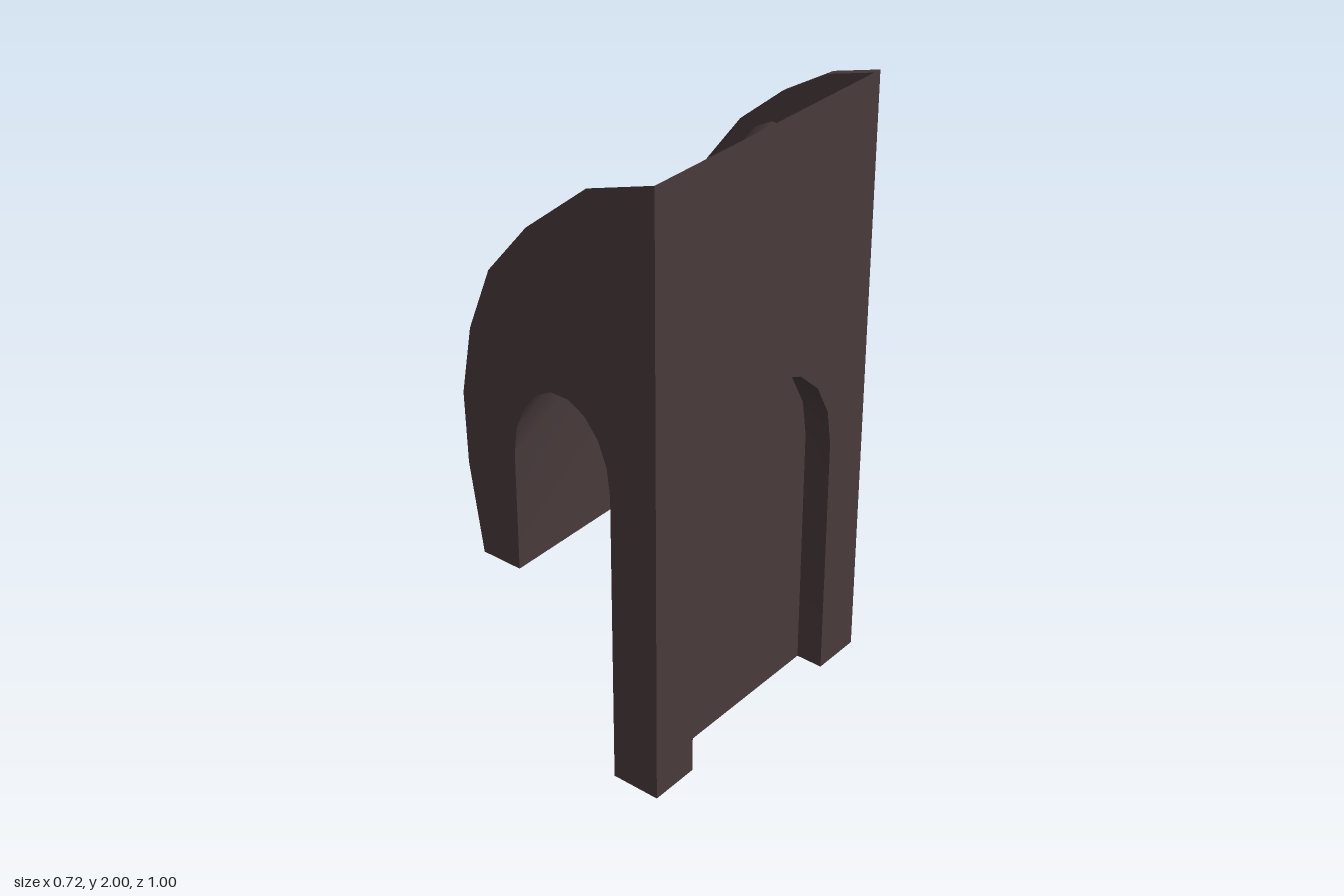
import * as THREE from 'three';
import { toCreasedNormals } from 'three/addons/utils/BufferGeometryUtils.js';

const stone = new THREE.MeshStandardMaterial({ color: 0x483a3b, side: THREE.DoubleSide });
stone.name = 'dark stone';

// Nine-sided round arch, listed from its +u foot to its -u foot
function arch(cu, ru, spring, rise, footA, footB) {
  const points = [[cu + ru, footA]];
  for (let i = 0; i <= 9; i++) {
    const a = (i / 9) * Math.PI;
    points.push([cu + ru * Math.cos(a), spring + rise * Math.sin(a)]);
  }
  points.push([cu - ru, footB]);
  return points;
}

// Flat panel from a list of 2D points, with optional holes
function panel(points) {
  return new THREE.ShapeGeometry(new THREE.Shape(points.map(([u, v]) => new THREE.Vector2(u, v))));
}

// Ribbon joining two rows of 3D points
function ribbon(rowA, rowB, crease) {
  const index = [];
  const n = rowA.length;
  for (let i = 0; i < n - 1; i++) index.push(i, i + 1, n + i, i + 1, n + i + 1, n + i);
  const geometry = new THREE.BufferGeometry();
  geometry.setAttribute('position', new THREE.Float32BufferAttribute([...rowA, ...rowB].flat(), 3));
  geometry.setIndex(index);
  geometry.computeVertexNormals();
  return toCreasedNormals(geometry, crease);
}

export function createModel() {
  const model = new THREE.Group();
  model.name = 'archway';
  const add = (name, geometry) => {
    const mesh = new THREE.Mesh(geometry, stone);
    mesh.name = name;
    model.add(mesh);
    return mesh;
  };

  // Bowed outer edges, from the top of the wall down to the hanging foot
  const frontEdge = [[0.36, 2], [0.13, 1.925], [-0.09, 1.745], [-0.237, 1.57],
    [-0.32, 1.36], [-0.36, 1.135], [-0.353, 0.9], [-0.307, 0.6]];
  const backEdge = [[0.36, 2], [0.2, 1.955], [0.04, 1.86], [-0.11, 1.735],
    [-0.235, 1.57], [-0.32, 1.37], [-0.36, 1.14], [-0.357, 0.6]];

  // The passage is taller at the back than at the front
  const frontArch = arch(0.015, 0.18, 1, 0.264, 0, 0.6);
  const backArch = arch(0.015, 0.18, 1.48, 0.264, 0, 0.6);

  const facade = (edge, opening) => panel([[0.36, 0], ...edge, ...[...opening].reverse()]);
  add('frontFacade', facade(frontEdge, frontArch)).position.z = 0.5;
  add('backFacade', facade(backEdge, backArch)).position.z = -0.5;

  // Sloping vault and passage walls
  const atZ = (points, z) => points.map(([x, y]) => [x, y, z]);
  add('passageVault', ribbon(atZ(frontArch, 0.5), atZ(backArch, -0.5), 0.9));

  // Narrow rim along the back facade
  add('backRim', ribbon(atZ(backEdge, -0.47), atZ(backEdge, -0.5), 0.1));

  // Side wall with an arched recess, open at the bottom
  const niche = arch(0, 0.33, 0.843, 0.356, 0, 0);
  const wall = add('sideWall', panel([[0.5, 0], [0.5, 2], [-0.5, 2], [-0.5, 0], ...[...niche].reverse()]));
  wall.rotation.y = Math.PI / 2;
  wall.position.x = 0.36;
  const recess = add('nichePanel', panel(niche));
  recess.rotation.y = Math.PI / 2;
  recess.position.x = 0.268;
  const atX = (points, x) => points.map(([z, y]) => [x, y, z]);
  add('nicheReveal', ribbon(atX(niche, 0.36), atX(niche, 0.268), 0.9));

  return model;
}
